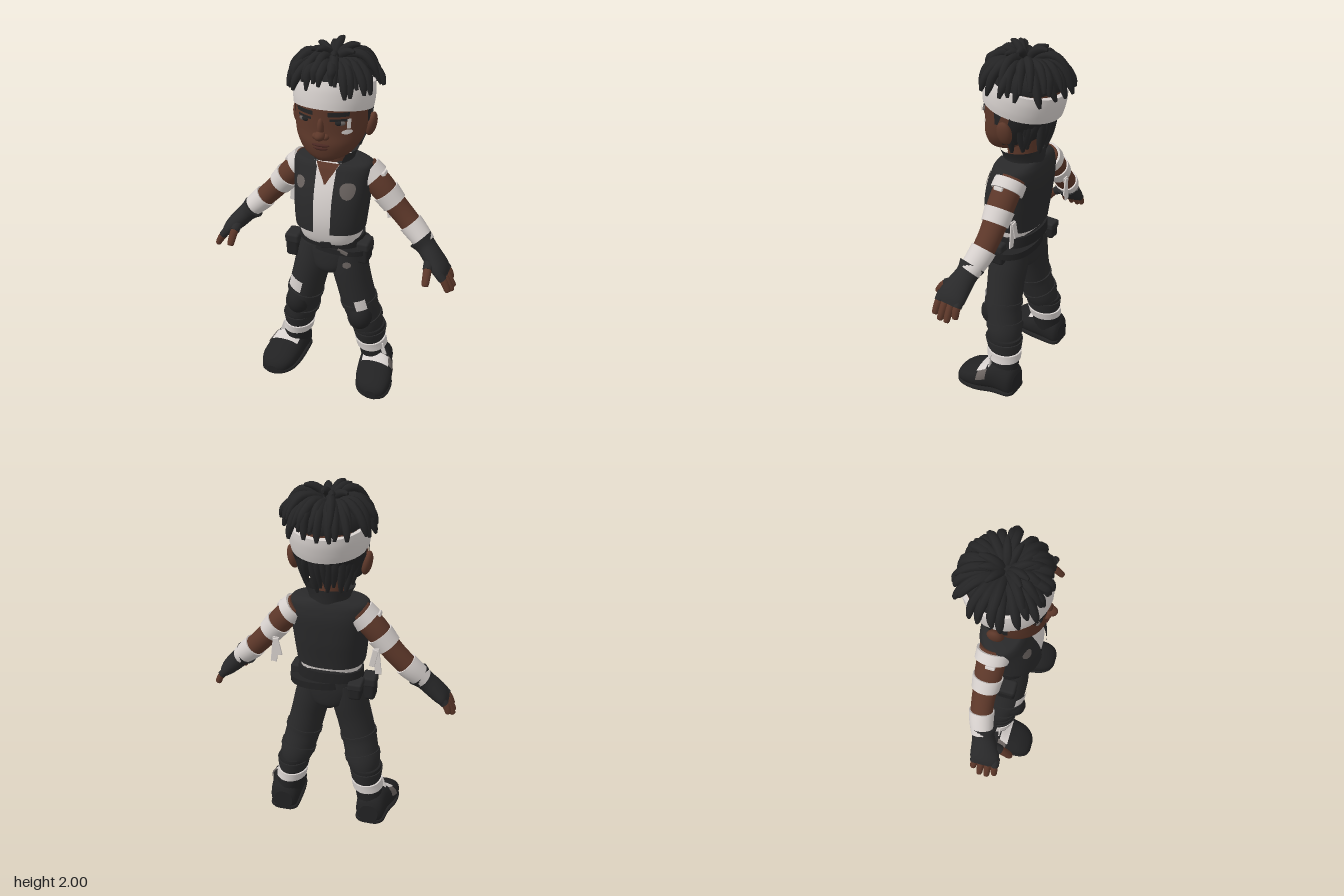
import * as THREE from 'three';
import { mergeGeometries } from 'three/addons/utils/BufferGeometryUtils.js';
import { RoundedBoxGeometry } from 'three/addons/geometries/RoundedBoxGeometry.js';

const PI = Math.PI, FRONT = PI / 2;
const mat = (name, color) => Object.assign(new THREE.MeshStandardMaterial({ color, side: THREE.DoubleSide }), { name });
const V = (x, y, z) => new THREE.Vector3(x, y, z);
const UP = V(0, 1, 0), FWD = V(0, 0, 1);

// Smooth interpolation of rings [x, y, z, widthRadius, depthRadius]
function at(R, t) {
  t = Math.min(Math.max(t, 0), R.length - 1);
  const i = Math.min(Math.floor(t), R.length - 2), f = t - i;
  const a = R[Math.max(i - 1, 0)], b = R[i], c = R[i + 1], d = R[Math.min(i + 2, R.length - 1)];
  return b.map((_, k) => 0.5 * (2 * b[k] + (c[k] - a[k]) * f + (2 * a[k] - 5 * b[k] + 4 * c[k] - d[k]) * f * f
    + (3 * b[k] - a[k] - 3 * c[k] + d[k]) * f * f * f));
}

// Parameter where a monotonic path reaches height y
function tAt(R, y) {
  const up = R[R.length - 1][1] > R[0][1];
  let lo = 0, hi = R.length - 1;
  for (let k = 0; k < 30; k++) {
    const m = (lo + hi) / 2;
    if ((at(R, m)[1] < y) === up) lo = m; else hi = m;
  }
  return lo;
}

// Skin over elliptical rings; `half` leaves an open arc around angle c, `dir` fixes the ring axis
function loft(R, { n = 5, seg = 24, p = 1, ref = FWD, dir, c = FRONT, half, floor = -9, t0 = 0, t1 = R.length - 1, grow = 0 } = {}) {
  const open = half !== undefined, cols = open ? seg + 1 : seg;
  const steps = Math.max(open ? 6 : 2, Math.ceil(Math.abs(t1 - t0) * n));
  const pos = [], idx = [], pw = v => Math.sign(v) * Math.abs(v) ** p;
  const centers = [];
  for (let i = 0; i <= steps; i++) {
    const f = i / steps, t = t0 + (t1 - t0) * f, r = at(R, t);
    const q0 = at(R, t - 0.05), q1 = at(R, t + 0.05);
    const T = dir || V(q1[0] - q0[0], q1[1] - q0[1], q1[2] - q0[2]).normalize();
    const A = ref.clone().addScaledVector(T, -ref.dot(T)).normalize(), B = T.clone().cross(A);
    const h = open ? (typeof half === 'function' ? half(f) : half) : PI;
    for (let j = 0; j < cols; j++) {
      const th = c - h + 2 * h * j / seg;
      const v = V(r[0], r[1], r[2]).addScaledVector(B, pw(Math.cos(th)) * (r[3] + grow)).addScaledVector(A, pw(Math.sin(th)) * (r[4] + grow));
      pos.push(v.x, Math.max(v.y, floor), v.z);
    }
    centers.push([r[0], Math.max(r[1], floor), r[2]]);
  }
  for (let i = 0; i < steps; i++) for (let j = 0; j < seg; j++) {
    const a = i * cols + j, b = i * cols + (j + 1) % cols;
    idx.push(a, a + cols, b, b, a + cols, b + cols);
  }
  if (!open) for (const e of [0, steps]) {
    const s = pos.length / 3;
    pos.push(...pos.slice(e * cols * 3, (e + 1) * cols * 3), ...centers[e]);
    for (let j = 0; j < seg; j++) e ? idx.push(s + cols, s + (j + 1) % cols, s + j) : idx.push(s + cols, s + j, s + (j + 1) % cols);
  }
  const g = new THREE.BufferGeometry();
  g.setAttribute('position', new THREE.Float32BufferAttribute(pos, 3));
  g.setIndex(idx);
  g.computeVertexNormals();
  return g;
}

export function createModel() {
  const M = {
    cloth: mat('black cloth', 0x29292a), hair: mat('hair', 0x242425), skin: mat('skin', 0x5c3729), white: mat('white cloth', 0xd6d0cd),
    grey: mat('grey patch', 0x69625f), lip: mat('lips', 0x4a2822), boot: mat('boot leather', 0x222223),
  };
  const root = new THREE.Group();
  const add = (name, geo, m, parent = root) => {
    const mesh = new THREE.Mesh(geo, M[m]);
    mesh.name = name;
    parent.add(mesh);
    return mesh;
  };
  const band = (R, y0, y1, grow, o = {}) => loft(R, { t0: tAt(R, y0), t1: tAt(R, y1), grow, ...o });
  const ball = (name, m, x, y, z, a, b, c, parent) => {
    const mesh = add(name, new THREE.SphereGeometry(1, 20, 14), m, parent);
    mesh.position.set(x, y, z);
    mesh.scale.set(a, b, c);
    return mesh;
  };
  const box = (name, m, x, y, z, w, h, d, rz, parent) => {
    const mesh = add(name, new RoundedBoxGeometry(w, h, d, 2, Math.min(w, h, d) * 0.25), m, parent);
    mesh.position.set(x, y, z);
    mesh.rotation.z = rz;
    return mesh;
  };
  const round = h => f => h * Math.sqrt(Math.max(0, 1 - (2 * f - 1) ** 2));
  let seed = 7;
  const rnd = () => (seed = (seed * 16807) % 2147483647) / 2147483647 - 0.5;

  // Head and face
  const head = [[0, 1.448, 0.1, 0.06, 0.07], [0, 1.48, 0.083, 0.12, 0.105], [0, 1.54, 0.052, 0.165, 0.147], [0, 1.6, 0.03, 0.184, 0.162],
    [0, 1.68, 0.005, 0.192, 0.188], [0, 1.76, -0.005, 0.193, 0.197], [0, 1.84, -0.01, 0.17, 0.175], [0, 1.9, -0.01, 0.1, 0.1]];
  const facePatch = (y0, y1, grow, c, half) => band(head, y0, y1, grow, { dir: UP, c, half, seg: 8 });
  add('head', loft(head, { seg: 32, dir: UP }), 'skin');
  add('neck', loft([[0, 1.3, -0.01, 0.1, 0.09], [0, 1.4, 0, 0.08, 0.08], [0, 1.52, 0.01, 0.085, 0.085]]), 'skin');
  ball('noseTip', 'skin', 0, 1.597, 0.202, 0.028, 0.024, 0.036);
  ball('noseBridge', 'skin', 0, 1.635, 0.188, 0.018, 0.05, 0.024);
  ball('upperLip', 'lip', 0, 1.545, 0.193, 0.046, 0.009, 0.014);
  ball('lowerLip', 'lip', 0, 1.528, 0.191, 0.038, 0.011, 0.015);
  for (const s of [1, -1]) {
    ball('nostril', 'skin', s * 0.024, 1.59, 0.19, 0.02, 0.016, 0.022);
    ball('eye', 'grey', s * 0.085, 1.664, 0.165, 0.034, 0.015, 0.014);
    ball('iris', 'hair', s * 0.083, 1.665, 0.172, 0.02, 0.015, 0.011);
    add('eyelid', facePatch(1.674, 1.687, 0.006, FRONT - s * 0.46, 0.22), 'hair');
    add('eyebrow', facePatch(1.698, 1.72, 0.007, FRONT - s * 0.46, 0.27), 'hair');
    ball('ear', 'skin', s * 0.194, 1.605, -0.01, 0.027, 0.064, 0.042).rotation.z = -s * 0.2;
    add('sideburn', facePatch(1.64, 1.72, 0.006, FRONT - s * 1.45, f => 0.05 + 0.1 * f), 'hair');
  }
  add('cheekPaint', facePatch(1.604, 1.63, 0.004, 0.86, round(0.16)), 'white');
  add('eyePaint', facePatch(1.64, 1.69, 0.016, 0.86, 0.05), 'white');

  // Headband, higher at the front
  const bandMesh = add('headband', loft([[0, -0.06, 0, 0.2, 0.207], [0, -0.02, 0, 0.205, 0.211], [0, 0.03, 0, 0.205, 0.212], [0, 0.07, 0, 0.199, 0.207]], { seg: 36 }), 'white');
  bandMesh.position.set(0, 1.752, -0.008);
  bandMesh.rotation.x = -0.2;

  // Hair: cap, nape and tapered locks
  ball('hairCap', 'hair', 0, 1.815, -0.015, 0.185, 0.125, 0.19);
  add('napeHair', band(head, 1.52, 1.74, 0.008, { dir: UP, c: -FRONT, half: 1.35 }), 'hair');
  const lock = (phi, pts, zc = -0.01) => {
    const C = Math.cos(phi), S = Math.sin(phi), k = rnd() * 0.05;
    const rings = pts.map(([r, y, w], i) => [r * C - k * i * S * 0.5, y, r * S + k * i * C * 0.5 + zc, w, w]);
    return loft(rings, { n: 3, seg: 7, ref: V(-S, 0, C) });
  };
  const locks = [];
  for (let i = 0; i < 25; i++) {
    const phi = i / 25 * 2 * PI + rnd() * 0.12, fr = Math.max(0, Math.sin(phi)) ** 2; // front locks are shorter
    const j = rnd() * 0.07, e = rnd() * 0.03 - fr * 0.025, u = j + fr * 0.05;
    locks.push(lock(phi, [[0.02, 1.9, 0.018], [0.12, 1.925 + j * 0.3, 0.023], [0.19 - fr * 0.015, 1.885 + u * 0.4, 0.023], [0.222 + e, 1.825 + u, 0.019], [0.234 + e, 1.782 + u, 0.008]]));
  }
  for (let i = 0; i < 15; i++) {
    const phi = i / 15 * 2 * PI + 0.1, fr = Math.max(0, Math.sin(phi)) * 0.025, j = rnd() * 0.04;
    locks.push(lock(phi, [[0.01, 1.9, 0.018], [0.08, 1.94 + j, 0.022], [0.15 - fr, 1.94 + j, 0.022], [0.2 - fr, 1.89 + j, 0.018], [0.225 - fr, 1.84 + j, 0.008]]));
  }
  for (let i = 0; i < 8; i++) {
    const j = rnd() * 0.025;
    locks.push(lock(i / 8 * 2 * PI + 0.3, [[0.01, 1.89, 0.018], [0.035, 1.945 + j, 0.021], [0.08, 1.975 + j, 0.019], [0.12, 1.978 + j, 0.008]]));
  }
  for (let i = 0; i < 15; i++) {
    const j = rnd() * 0.05;
    locks.push(lock(-FRONT + (i - 7) * 0.19, [[0.17, 1.71, 0.018], [0.166, 1.63, 0.021], [0.15, 1.55 + j, 0.02], [0.135, 1.48 + j, 0.009]], 0.015));
  }
  add('dreadlocks', mergeGeometries(locks), 'hair');

  // Shirt, open vest and collar
  const torso = [[0, 1.025, 0.045, 0.188, 0.152], [0, 1.1, 0.04, 0.196, 0.156], [0, 1.2, 0.025, 0.204, 0.155], [0, 1.3, 0.003, 0.212, 0.14],
    [0, 1.36, -0.005, 0.215, 0.125], [0, 1.395, -0.008, 0.195, 0.108], [0, 1.41, -0.008, 0.1, 0.09]];
  const shirt = [[0, 0.96, 0.03, 0.165, 0.12], [0, 1.01, 0.037, 0.174, 0.135], ...torso.slice(1, 6).map(r => [r[0], r[1], r[2], r[3] - 0.014, r[4] - 0.012])];
  add('shirt', loft(shirt, { p: 0.82, seg: 40 }), 'white');
  add('chest', band(shirt, 1.27, 1.394, 0.004, { p: 0.82, half: f => 0.01 + 0.26 * f, seg: 10 }), 'skin');
  add('vest', loft(torso, { p: 0.82, seg: 44, c: -FRONT, half: f => PI - 0.18 - 0.6 * Math.max(0, f - 0.7) }), 'cloth');
  add('collar', loft([[0, 1.37, -0.005, 0.105, 0.105], [0, 1.42, -0.003, 0.113, 0.112], [0, 1.468, 0, 0.134, 0.122]], { c: -FRONT, half: f => PI - 0.6 - 0.2 * f }), 'cloth');
  const spot = { p: 0.82, n: 20, seg: 10 };
  add('vestPatchRight', band(torso, 1.23, 1.3, 0.005, { ...spot, c: FRONT + 0.62, half: round(0.17) }), 'grey');
  add('vestPatchLeft', band(torso, 1.21, 1.3, 0.005, { ...spot, c: FRONT - 0.56, half: round(0.23) }), 'grey');

  // Hips, belt and pouches
  const hips = [[0, 0.73, 0.03, 0.04, 0.08], [0, 0.77, 0.03, 0.12, 0.112], [0, 0.85, 0.025, 0.168, 0.12], [0, 0.92, 0.022, 0.173, 0.118], [0, 0.99, 0.025, 0.168, 0.118]];
  add('hips', loft(hips, { p: 0.9 }), 'cloth');
  add('belt', band(hips, 0.925, 0.98, 0.012, { p: 0.9, seg: 32 }), 'boot');
  add('lowBelt', band(hips, 0.885, 0.92, 0.012, { p: 0.9, seg: 32 }), 'boot').rotation.z = -0.05;
  box('beltKnot', 'boot', 0.01, 0.945, 0.152, 0.06, 0.04, 0.025, 0.2);
  box('beltTail', 'grey', 0.1, 0.91, 0.146, 0.06, 0.02, 0.008, -0.3);
  for (const [x, y, z, w, h] of [[-0.215, 0.855, 0.05, 0.075, 0.14], [0.195, 0.89, 0.05, 0.06, 0.13], [-0.16, 0.89, -0.06, 0.07, 0.1]]) {
    box('pouch', 'boot', x, y, z, w, h, 0.1, 0);
    box('pouchFlap', 'cloth', x, y + h * 0.3, z, w + 0.008, h * 0.42, 0.106, 0);
  }

  for (const s of [1, -1]) {
    const side = new THREE.Group();
    side.name = s > 0 ? 'leftLimbs' : 'rightLimbs';
    root.add(side);
    const mir = R => R.map(([x, ...r]) => [x * s, ...r]);
    const put = (name, geo, m) => add(name, geo, m, side);

    // Leg, knee pad and patches
    const leg = mir([[0.09, 0.9, 0.025, 0.085, 0.108], [0.105, 0.78, 0.032, 0.101, 0.112], [0.133, 0.66, 0.035, 0.1, 0.106], [0.165, 0.53, 0.03, 0.1, 0.102],
      [0.184, 0.45, 0.015, 0.098, 0.1], [0.204, 0.37, 0, 0.094, 0.1], [0.218, 0.29, -0.005, 0.07, 0.085]]);
    put('trouserLeg', loft(leg), 'cloth');
    ball('kneePad', 'boot', s * 0.19, s > 0 ? 0.465 : 0.48, 0.085, 0.068, 0.085, 0.073, side);
    put('kneeStrapTop', band(leg, 0.555, 0.53, 0.006), 'cloth');
    put('kneeStrapLow', band(leg, 0.43, 0.4, 0.006), 'cloth');
    put('thighPatch', band(leg, s > 0 ? 0.59 : 0.65, s > 0 ? 0.53 : 0.575, 0.008, { c: FRONT + s * 0.45, half: s > 0 ? 0.3 : 0.45, seg: 8 }), 'white');
    if (s > 0) put('hipPatch', band(leg, 0.84, 0.8, 0.01, { c: FRONT + 0.25, half: round(0.22), n: 20, seg: 8 }), 'grey');

    // Boot with cuff, ankle wrap and toe straps
    const shaft = mir([[0.262, 0.08, -0.02, 0.08, 0.09], [0.242, 0.18, -0.015, 0.08, 0.09], [0.225, 0.26, -0.01, 0.08, 0.094], [0.22, 0.33, -0.005, 0.09, 0.106], [0.218, 0.355, -0.005, 0.088, 0.104]]);
    put('bootShaft', loft(shaft, { dir: UP }), 'boot');
    put('bootCuff', band(shaft, 0.275, 0.335, 0.006, { dir: UP }), 'cloth');
    put('ankleWrap', band(shaft, 0.212, 0.262, 0.01, { dir: UP }), 'white');
    box('wrapTail', 'white', s * 0.315, 0.205, 0.03, 0.025, 0.08, 0.008, s * 0.3, side);
    const foot = mir([[0.262, 0.07, -0.118, 0.055, 0.06], [0.264, 0.08, -0.09, 0.082, 0.09], [0.27, 0.095, 0, 0.092, 0.1], [0.287, 0.075, 0.09, 0.106, 0.075],
      [0.297, 0.06, 0.17, 0.1, 0.062], [0.305, 0.045, 0.222, 0.072, 0.042], [0.308, 0.035, 0.242, 0.03, 0.02]]);
    const shoe = { ref: UP, dir: FWD, floor: 0.012, p: 0.85 };
    put('bootFoot', loft(foot, shoe), 'boot');
    put('sole', loft(foot.map(r => [r[0], 0.016, r[2], r[3] + 0.002, 0.016]), { ref: UP, dir: FWD, p: 0.6 }), 'boot');
    put('instepStrap', loft(foot, { ...shoe, t0: 2.45, t1: 3.05, grow: 0.006, half: 0.75 }), 'white');
    put('strapSide', loft(foot, { ...shoe, t0: 2.35, t1: 2.95, grow: 0.006, c: FRONT + s * 1.1, half: 0.36 }), 'grey');

    // Arm with torn sleeve, armband and wrist wrap
    const arm = mir([[0.16, 1.345, -0.03, 0.066, 0.074], [0.25, 1.255, -0.03, 0.068, 0.074], [0.33, 1.16, -0.032, 0.06, 0.064], [0.39, 1.095, -0.03, 0.058, 0.06],
      [0.45, 1.035, -0.02, 0.055, 0.058], [0.53, 0.96, 0.005, 0.043, 0.048]]);
    put('arm', loft(arm), 'skin');
    put('tornSleeve', band(arm, 1.335, 1.295, 0.013), 'white');
    put('armband', band(arm, 1.225, 1.165, 0.008), 'white');
    put('wristWrap', band(arm, 1.065, 0.975, 0.008), 'white');
    box('sleeveTip', 'white', s * 0.255, 1.33, -0.02, 0.05, 0.02, 0.05, s * 0.4, side);
    box('clothStrip', 'white', s * 0.28, 1.1, -0.105, 0.035, 0.15, 0.008, s * 0.12, side);
    box('clothStripShort', 'white', s * 0.262, 1.12, -0.112, 0.03, 0.1, 0.008, -s * 0.2, side);

    // Fingerless glove, fingers and thumb
    put('glove', loft(mir([[0.485, 0.995, 0, 0.066, 0.072], [0.52, 0.962, 0.008, 0.053, 0.06], [0.565, 0.915, 0.025, 0.05, 0.07], [0.61, 0.868, 0.04, 0.042, 0.08], [0.638, 0.835, 0.045, 0.026, 0.072]])), 'cloth');
    const digit = (name, a, b, c, w) => {
      const R = mir([[...a, w, w], [...b, w, w], [...c, w * 0.85, w * 0.85], [c[0] + (c[0] - b[0]) * 0.16, c[1] + (c[1] - b[1]) * 0.16, c[2] + (c[2] - b[2]) * 0.16, w * 0.4, w * 0.4]]);
      put(name, loft(R, { seg: 10 }), 'skin');
      put(name + 'Glove', loft(R, { seg: 10, t1: 0.8, grow: 0.004 }), 'cloth');
    };
    for (let k = 0; k < 4; k++) {
      const z = -0.012 + k * 0.038, e = [0.02, 0, 0, 0.012][k];
      digit('finger', [0.61, 0.87, z], [0.648, 0.825, z + 0.002], [0.684 - e, 0.765 + e, z + 0.002 * k], 0.0195);
    }
    digit('thumb', [0.555, 0.91, 0.07], [0.56, 0.875, 0.125], [0.563, 0.825, 0.165], 0.022);
  }
  return root;
}
